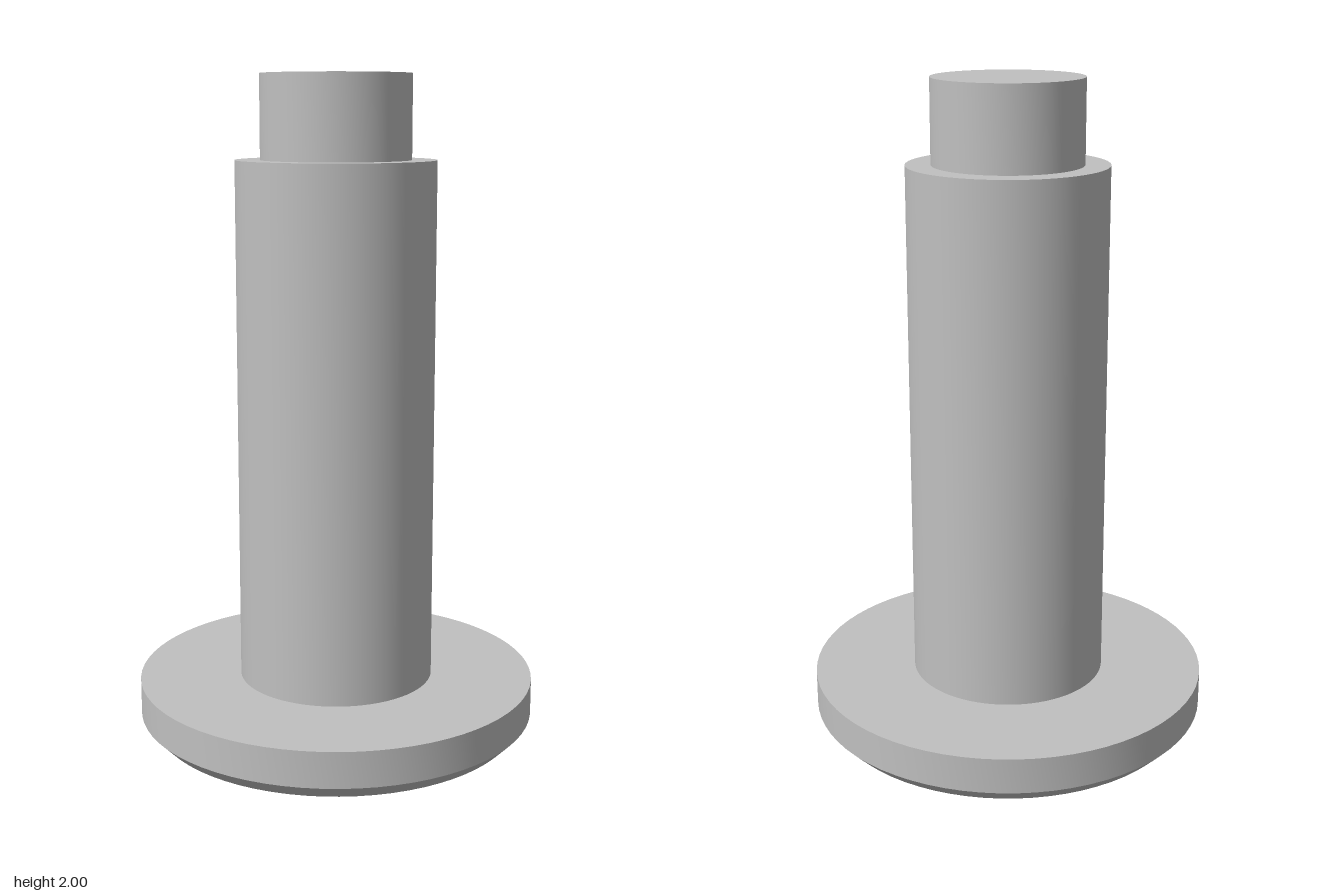
import * as THREE from 'three';
import { toCreasedNormals } from 'three/addons/utils/BufferGeometryUtils.js';

const SEGMENTS = 72;

export function createModel() {
  const group = new THREE.Group();
  group.name = 'steppedPin';

  const steel = new THREE.MeshStandardMaterial({ color: 0xc0c0c0 });
  steel.name = 'greySteel';

  // Turns a profile of [radius, height] points, running from bottom to top
  function addTurned(name, profile) {
    const points = profile.map(([r, y]) => new THREE.Vector2(r, y));
    const lathe = new THREE.LatheGeometry(points, SEGMENTS);
    const mesh = new THREE.Mesh(toCreasedNormals(lathe, Math.PI / 7), steel);
    mesh.name = name;
    group.add(mesh);
  }

  const shaftRadius = 0.3, tipRadius = 0.225;
  const flangeTop = 0.155, shaftTop = 1.75;

  // Flat round foot with a chamfered lower edge
  addTurned('flange', [[0, 0], [0.57, 0], [0.614, 0.045], [0.614, flangeTop], [shaftRadius, flangeTop]]);
  // Main cylinder and its shoulder
  addTurned('shaft', [[shaftRadius, flangeTop], [shaftRadius, shaftTop], [tipRadius, shaftTop]]);
  // Narrower end
  addTurned('tip', [[tipRadius, shaftTop], [tipRadius, 2], [0, 2]]);

  return group;
}
